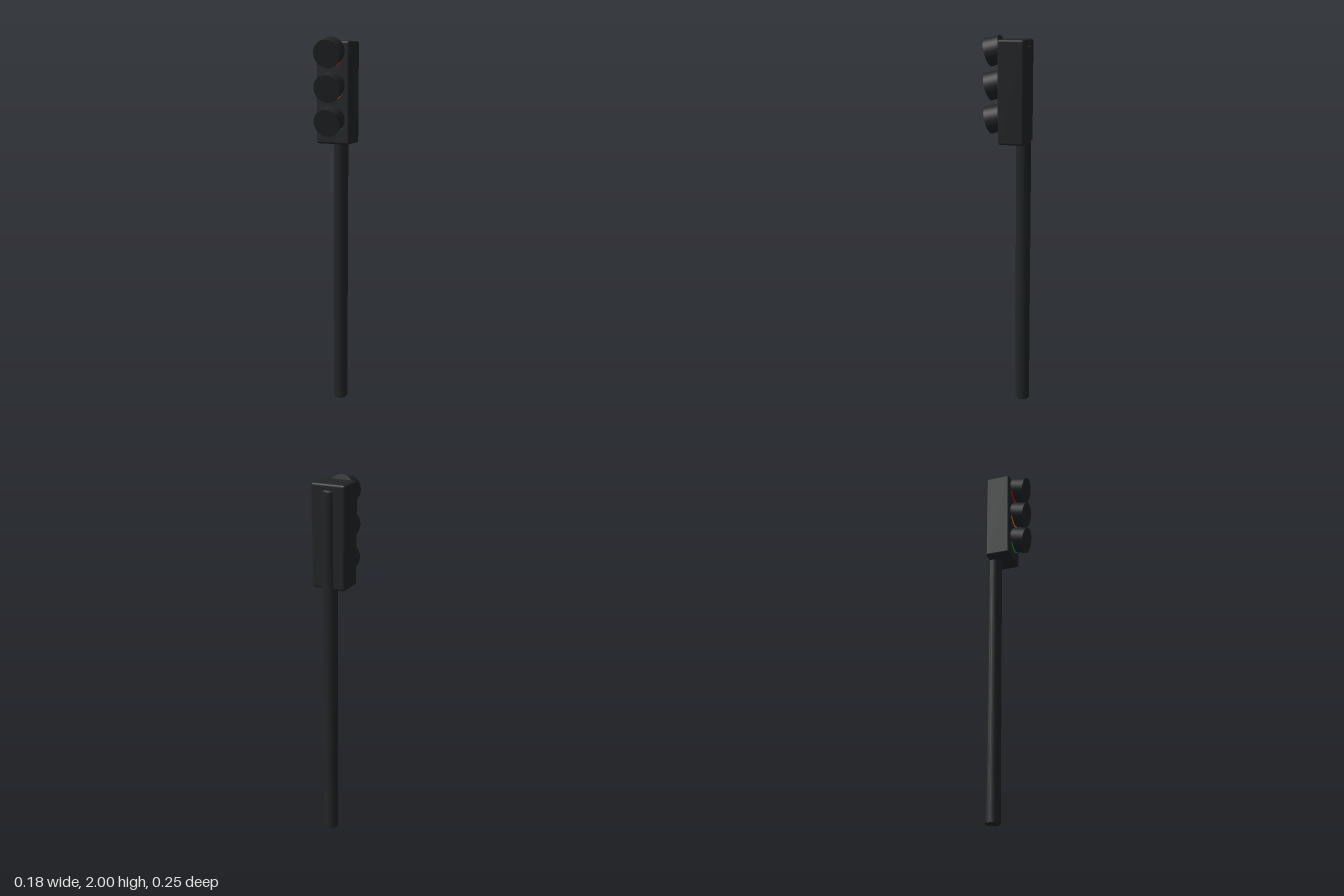
import * as THREE from 'three';
import { RoundedBoxGeometry } from 'three/addons/geometries/RoundedBoxGeometry.js';
import { toCreasedNormals } from 'three/addons/utils/BufferGeometryUtils.js';

const material = (color) => new THREE.MeshStandardMaterial({ color });

export function createModel() {
  const model = new THREE.Group();
  model.name = 'trafficLight';
  const dark = material(0x222426);

  const add = (name, geometry, mat, y, z) => {
    const mesh = new THREE.Mesh(geometry, mat);
    mesh.name = name;
    mesh.position.set(0, y, z);
    model.add(mesh);
    return mesh;
  };

  // Pole with small bevels at both ends, half sunk into the back of the housing
  const r = 0.039, h = 1.95, b = 0.006;
  const profile = [[0, 0], [r - b, 0], [r, b], [r, h - b], [r - b, h], [0, h]]
    .map(([x, y]) => new THREE.Vector2(x, y));
  add('pole', toCreasedNormals(new THREE.LatheGeometry(profile, 20), 0.6), dark, 0, -0.083);

  // Signal housing
  add('housing', new RoundedBoxGeometry(0.184, 0.52, 0.138, 3, 0.012), dark, 1.72, -0.039);

  // Three lamps, each with a lens and a flared hood tilted downwards
  const tilt = THREE.MathUtils.degToRad(15);
  const lamps = [['red', 0xcc1a10], ['amber', 0xd98a10], ['green', 0x189a3a]];
  lamps.forEach(([name, color], i) => {
    const y = 1.924 - i * 0.171;
    const lens = add(name + 'Lens', new THREE.CylinderGeometry(0.06, 0.06, 0.016, 32),
      material(color), y - 0.009, 0.028);
    lens.rotation.x = Math.PI / 2;
    const hood = add(name + 'Hood', new THREE.CylinderGeometry(0.072, 0.068, 0.078, 32),
      dark, y, 0.067);
    hood.rotation.x = Math.PI / 2 + tilt;
  });

  return model;
}
